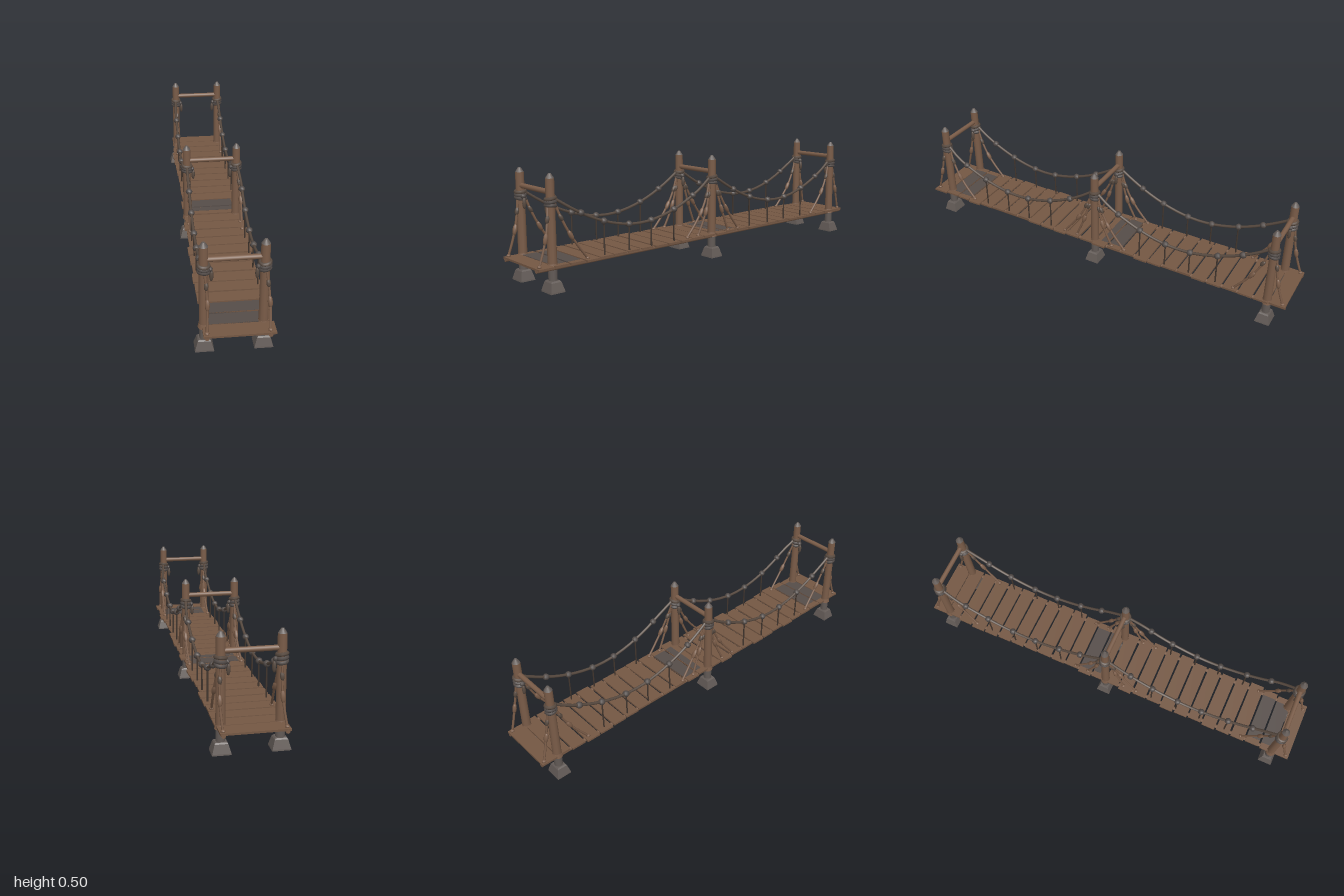
import * as THREE from 'three';

const mat = (name, color) => {
  const m = new THREE.MeshStandardMaterial({ color });
  m.name = name;
  return m;
};

export function createModel() {
  const wood = mat('timber brown', 0x7a5c48);
  const plankWood = mat('plank brown', 0x745743);
  const stone = mat('footing grey', 0x625a56);
  const worn = mat('worn plank grey', 0x554c48);
  const rope = mat('rope brown', 0x584a40);
  const knotMat = mat('knot grey', 0x514a47);
  const hangerMat = mat('hanger dark brown', 0x43372f);

  const model = new THREE.Group();
  model.name = 'ropeBridge';
  let seed = 11;
  const rand = () => {
    seed = (seed * 16807) % 2147483647;
    return seed / 2147483647 - 0.5;
  };
  const V = (x, y, z) => new THREE.Vector3(x, y, z);
  const add = (name, geo, material, p, parent = model) => {
    const m = new THREE.Mesh(geo, material);
    m.name = name;
    if (p) m.position.copy(p);
    parent.add(m);
    return m;
  };
  // straight round bar between two points
  const bar = (name, a, b, r, material, sides = 8) => {
    const d = b.clone().sub(a);
    const m = add(name, new THREE.CylinderGeometry(r, r, d.length(), sides), material,
      a.clone().add(b).multiplyScalar(0.5));
    m.quaternion.setFromUnitVectors(V(0, 1, 0), d.normalize());
    return m;
  };
  const knot = (name, p, r, stretch = 1, dir = V(0, 1, 0), material = knotMat) => {
    const m = add(name, new THREE.SphereGeometry(r, 8, 6), material, p);
    m.scale.y = stretch;
    m.quaternion.setFromUnitVectors(V(0, 1, 0), dir);
    return m;
  };
  const tube = (name, pts, r, material) =>
    add(name, new THREE.TubeGeometry(new THREE.CatmullRomCurve3(pts), 24, r, 6), material);

  const towers = [0.91, 0, -0.91];
  const postX = (s, z) => s * 0.123 - 0.0066 * (z / 0.91);
  const ropeX = (s) => s * 0.129 + 0.005;

  // deck planks, slightly uneven, with worn grey middles on a few
  const count = 26, pitch = 2 / count;
  for (let i = 0; i < count; i++) {
    const z = -1 + pitch * (i + 0.5);
    const edge = i === 0 || i === count - 1;
    const depth = pitch - (edge ? 0 : 0.009);
    const m = add('plank', new THREE.BoxGeometry(0.296 + rand() * 0.02, 0.009, depth), plankWood,
      V(0.005 + rand() * 0.012, 0.1145 + rand() * 0.002, z));
    if (!edge) m.rotation.y = rand() * 0.025;
    if ([11, 23, 24].includes(i)) {
      const face = add('wornPlankFace', new THREE.BoxGeometry(0.232, 0.0098, depth), worn, m.position);
      face.rotation.copy(m.rotation);
    }
  }
  add('wornPatch', new THREE.BoxGeometry(0.23, 0.002, 0.035), worn, V(0.005, 0.1195, -0.053));

  for (const s of [1, -1]) {
    // long bearer under each deck edge
    bar('deckBearer', V(ropeX(s), 0.107, -1), V(ropeX(s), 0.107, 1), 0.0095, wood);

    for (const z of towers) {
      const x = postX(s, z);
      // tapered square footing with a chamfered top
      const foot = [[0.04, 0], [0.039, 0.006], [0.028, 0.044], [0.023, 0.05], [0, 0.05]];
      const pts = [[0, 0], ...foot].map(([r, y]) => new THREE.Vector2(r * Math.SQRT2, y));
      const g = new THREE.LatheGeometry(pts, 4, Math.PI / 4).toNonIndexed();
      g.computeVertexNormals();
      g.scale(1, 1, 0.88);
      add('footing', g, stone, V(x, 0, z));
      // post in two colours with a pointed cap
      add('postFoot', new THREE.CylinderGeometry(0.0195, 0.0195, 0.06, 10), stone, V(x, 0.075, z));
      add('post', new THREE.CylinderGeometry(0.019, 0.0205, 0.385, 10), wood, V(x, 0.2925, z));
      add('postCap', new THREE.CylinderGeometry(0.006, 0.019, 0.02, 10), stone, V(x, 0.495, z));
      add('postCollar', new THREE.CylinderGeometry(0.021, 0.026, 0.02, 10), wood, V(x, 0.113, z));

      // rope lashings round the post
      [0.37, 0.385, 0.4].forEach((y, i) => {
        const t = add('lashing', new THREE.TorusGeometry(0.0205, 0.0085, 6, 14), i === 2 ? rope : knotMat, V(x, y, z));
        t.rotation.set(Math.PI / 2 + 0.15 * (i - 1), 0.12 * s, 0);
      });
      // knot and loose end hanging on the inner side
      knot('lashingKnot', V(x - s * 0.025, 0.38, z), 0.012);
      knot('lashingTail', V(x - s * 0.031, 0.35, z), 0.009, 3, V(0, 1, 0), rope);

      // slanting stays with long twists and a foot knot
      const spans = z === 0 ? [-0.17, -0.1, 0.1, 0.17] : [-Math.sign(z) * 0.165, Math.sign(z) * 0.073];
      for (const dz of spans) {
        const a = V(x, 0.39, z + Math.sign(dz) * 0.015);
        const b = V(ropeX(s), 0.122, z + dz);
        const at = (t) => {
          const p = a.clone().lerp(b, t);
          p.x += 0.008 * Math.sin(t * Math.PI);
          p.z -= dz * 0.12 * Math.sin(t * Math.PI);
          return p;
        };
        tube('stay', [0, 0.25, 0.5, 0.75, 1].map(at), 0.0055, wood);
        const dir = b.clone().sub(a).normalize();
        knot('stayTwist', at(0.28), 0.0095, 2, dir, rope);
        knot('stayTwist', at(0.58), 0.0105, 2.6, dir, wood);
        knot('stayFoot', b, 0.01, 0.8, V(0, 1, 0), wood);
      }
    }

    // sagging handrail ropes with knots and hangers
    for (const mid of [0.455, -0.455]) {
      const x = ropeX(s);
      const at = (u) => V(x, 0.235 + 0.175 * Math.pow(Math.abs(u), 1.9), mid + u * 0.455);
      const path = [-1, -0.8, -0.6, -0.4, -0.2, 0, 0.2, 0.4, 0.6, 0.8, 1].map(at);
      path[0].x = postX(s, path[0].z);
      path[10].x = postX(s, path[10].z);
      tube('handrailRope', path, 0.0068, rope);
      for (const u of [-0.7, -0.44, -0.14, 0.14, 0.44, 0.7]) {
        const p = at(u);
        knot('ropeKnot', p, 0.0165, 0.95);
        if (Math.abs(u) < 0.6) bar('hanger', p, V(x, 0.116, p.z), 0.0038, hangerMat, 6);
      }
    }
  }

  // crossbeam joining each pair of posts
  for (const z of towers)
    bar('crossbeam', V(postX(-1, z) - 0.005, 0.426, z), V(postX(1, z) + 0.005, 0.426, z), 0.0115, wood, 10);

  return model;
}
